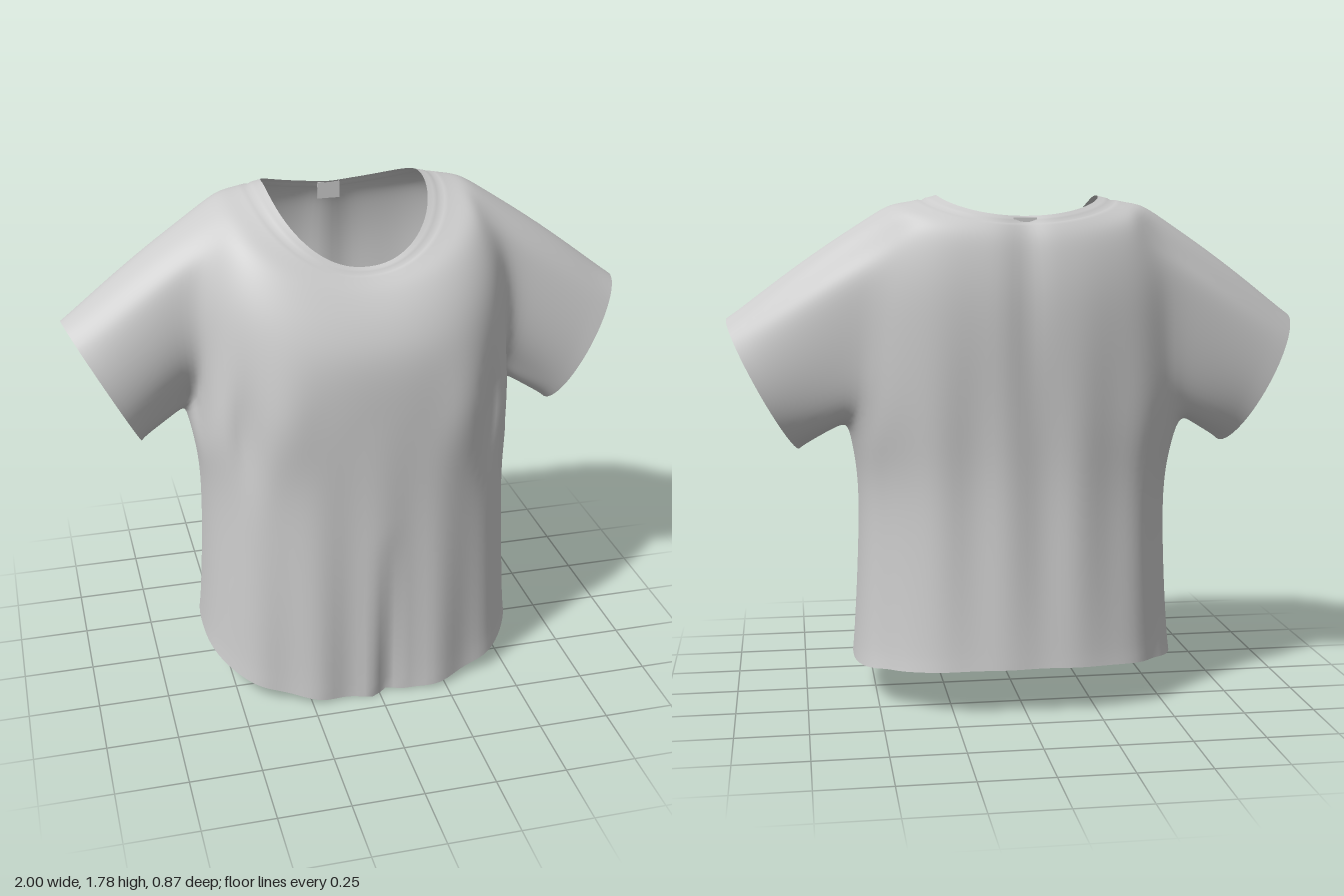
import * as THREE from 'three';

const N = 128;               // points around each body ring
const STEPS = 7;             // rings between two key sections
const FRONT = 8, BACK = 12;  // ring points of the armhole ahead of and behind the side
const SLEEVE = 14;           // rings along a sleeve

// Key sections from hem to neckline:
// half width, front z, back z, centre z, then height at front, side and back
const KEYS = [
  [0.580, 0.432, -0.432, 0.00, 0.00, 0.13, 0.17],
  [0.562, 0.425, -0.412, 0.00, 0.40, 0.40, 0.42],
  [0.552, 0.412, -0.395, -0.02, 0.77, 0.77, 0.77],
  [0.590, 0.405, -0.405, -0.08, 1.03, 1.01, 1.03],
  [0.565, 0.392, -0.420, -0.11, 1.27, 1.28, 1.28],
  [0.545, 0.345, -0.420, -0.12, 1.40, 1.54, 1.46],
  [0.475, 0.285, -0.400, -0.14, 1.49, 1.728, 1.60],
  [0.375, 0.240, -0.374, -0.15, 1.535, 1.758, 1.67],
  [0.280, 0.200, -0.345, -0.14, 1.57, 1.78, 1.71],
];
const RINGS = (KEYS.length - 1) * STEPS;
const HOLE_LOW = 3 * STEPS, HOLE_HIGH = 6 * STEPS;
const HOLE = { y: 1.37, z: -0.115, halfY: 0.355, halfZ: 0.2 };
const COLLAR = RINGS - 4;

// First and last ring point of each armhole, left then right
const SIDES = [
  { sign: 1, name: 'leftSleeve', lo: -BACK, hi: FRONT },
  { sign: -1, name: 'rightSleeve', lo: N / 2 - FRONT, hi: N / 2 + BACK },
];

// Smooth interpolation between the key sections
function section(t) {
  const k = Math.min(Math.floor(t), KEYS.length - 2), f = t - k;
  const key = (i) => KEYS[Math.max(0, Math.min(KEYS.length - 1, i))];
  return KEYS[k].map((_, c) => {
    const [p, q, r, s] = [key(k - 1)[c], key(k)[c], key(k + 1)[c], key(k + 2)[c]];
    return q + 0.5 * f * (r - p + f * (2 * p - 5 * q + 4 * r - s + f * (3 * (q - r) + s - p)));
  });
}

// A rounded-box ring point; the height dips from the side to front and back
function ringPoint([a, front, back, mid, yFront, ySide, yBack], j) {
  const t = (j / N) * Math.PI * 2, c = Math.cos(t), s = Math.sin(t);
  const r = Math.pow(Math.abs(c) ** 2.6 + Math.abs(s) ** 2.6, -1 / 2.6);
  const depth = s > 0 ? front - mid : mid - back;
  const yEnd = s > 0 ? yFront : yBack;
  return new THREE.Vector3(a * c * r, ySide + (yEnd - ySide) * s * s * r, mid + depth * s * r);
}

const bump = (v, centre, width) => Math.exp(-(((v - centre) / width) ** 2));

// Depth of the cloth folds at a point of the body
function fold(p) {
  const x = Math.abs(p.x);
  const low = THREE.MathUtils.clamp(1 - p.y / 1.1, 0, 1);
  if (p.z > 0) {
    return 0.012 * low * Math.sin(p.x * 28 + 1.6)
      - 0.045 * bump(p.x, 0.03, 0.04) * THREE.MathUtils.clamp(1 - p.y / 0.65, 0, 1)
      - 0.05 * bump(x, 0.44, 0.045) * bump(p.y, 1.02, 0.19)
      + 0.02 * bump(x, 0.32, 0.09) * bump(p.y, 1.08, 0.18);
  }
  return 0.008 * bump(p.y, 0.7, 0.6) * Math.sin(p.x * 26)
    - 0.015 * bump(p.x, 0, 0.06) * bump(p.y, 1.5, 0.5)
    - 0.03 * low * bump(x, 0.48, 0.04);
}

export function createModel() {
  const points = [], fixed = new Set();
  const parts = { body: [], collar: [], leftSleeve: [], rightSleeve: [] };
  const at = (i, j) => i * N + ((j + N) % N);
  const quad = (list, a, b, c, d) => list.push(a, d, b, b, d, c);

  // Body and collar rings, leaving out the armholes
  for (let i = 0; i <= RINGS; i++) {
    const sec = section(i / STEPS);
    for (let j = 0; j < N; j++) {
      points.push(ringPoint(sec, j));
      if (i === 0 || i === RINGS) fixed.add(at(i, j));
    }
  }
  const inHole = (i, j) => i >= HOLE_LOW && i < HOLE_HIGH
    && SIDES.some(({ lo, hi }) => (j - lo + N) % N < hi - lo);
  for (let i = 0; i < RINGS; i++) {
    for (let j = 0; j < N; j++) {
      if (inHole(i, j)) continue;
      quad(i >= COLLAR ? parts.collar : parts.body,
        at(i, j), at(i, j + 1), at(i + 1, j + 1), at(i + 1, j));
    }
  }
  const bodyCount = points.length;

  // Sleeves grow from the edge of each armhole to a slanted oval cuff
  for (const { sign, name, lo, hi } of SIDES) {
    const loop = [];
    for (let j = lo; j < hi; j++) loop.push(at(HOLE_LOW, j));
    for (let i = HOLE_LOW; i < HOLE_HIGH; i++) loop.push(at(i, hi));
    for (let j = hi; j > lo; j--) loop.push(at(HOLE_HIGH, j));
    for (let i = HOLE_HIGH; i > HOLE_LOW; i--) loop.push(at(i, lo));

    // Round the armhole, tuck in its lower front, and place each point on the cuff
    const up = [];
    const cuff = loop.map((id) => {
      const p = points[id];
      const v = (p.y - HOLE.y) / HOLE.halfY, w = (p.z - HOLE.z) / HOLE.halfZ;
      const shrink = Math.min(1, 1.08 / Math.hypot(v, w));
      const tuck = Math.max(0, -v) * Math.max(0, w);
      p.x -= sign * 0.05 * tuck;
      p.y = HOLE.y + v * shrink * HOLE.halfY;
      p.z = HOLE.z + w * shrink * HOLE.halfZ - 0.07 * tuck;
      const t = Math.atan2(v, w), u = Math.sin(t), forward = Math.cos(t);
      up.push(Math.max(0, u));
      return new THREE.Vector3(
        sign * (0.88 + 0.12 * u - 0.02 * forward), 1.13 + 0.23 * u, -0.07 + 0.17 * forward);
    });
    let previous = loop;
    for (let k = 1; k <= SLEEVE; k++) {
      const ring = loop.map((id, m) => {
        const p = points[id].clone().lerp(cuff[m], k / SLEEVE);
        p.y += 0.015 * up[m] * Math.sin((Math.PI * k) / SLEEVE);
        points.push(p);
        if (k === SLEEVE) fixed.add(points.length - 1);
        return points.length - 1;
      });
      ring.forEach((_, m) => {
        const n = (m + 1) % ring.length;
        quad(parts[name], previous[m], previous[n], ring[n], ring[m]);
      });
      previous = ring;
    }
  }

  // Relax the cloth so the sleeves flow into the shoulders
  const all = Object.values(parts).flat();
  const near = points.map(() => new Set());
  for (let t = 0; t < all.length; t += 3) {
    for (let e = 0; e < 3; e++) {
      const a = all[t + e], b = all[t + ((e + 1) % 3)];
      near[a].add(b);
      near[b].add(a);
    }
  }
  for (let pass = 0; pass < 12; pass++) {
    const old = points.map((p) => p.clone());
    points.forEach((p, id) => {
      if (fixed.has(id) || near[id].size === 0) return;
      const mean = new THREE.Vector3();
      near[id].forEach((n) => mean.add(old[n]));
      p.lerp(mean.divideScalar(near[id].size), 0.5);
    });
  }

  // Folds in the body and a shallow seam below the collar
  for (let id = 0; id < bodyCount; id++) {
    const p = points[id], t = ((id % N) / N) * Math.PI * 2;
    p.z += fold(p) * Math.sin(t);
    if (Math.floor(id / N) === COLLAR) p.y -= 0.005;
  }

  // All parts share one set of points, so shading runs across the seams
  const cloth = new THREE.BufferGeometry().setFromPoints(points);
  cloth.setIndex(all);
  cloth.computeVertexNormals();
  const material = new THREE.MeshStandardMaterial({ color: 0xcccccc, side: THREE.DoubleSide });
  const shirt = new THREE.Group();
  shirt.name = 'shirt';
  for (const [name, index] of Object.entries(parts)) {
    const geometry = new THREE.BufferGeometry();
    geometry.setAttribute('position', cloth.getAttribute('position'));
    geometry.setAttribute('normal', cloth.getAttribute('normal'));
    geometry.setIndex(index);
    const mesh = new THREE.Mesh(geometry, material);
    mesh.name = name;
    shirt.add(mesh);
  }

  // Small plain tag inside the back of the neck
  const tag = new THREE.Mesh(new THREE.BoxGeometry(0.08, 0.06, 0.008), material);
  tag.name = 'neckTag';
  tag.position.set(0, 1.675, -0.342);
  shirt.add(tag);
  return shirt;
}
